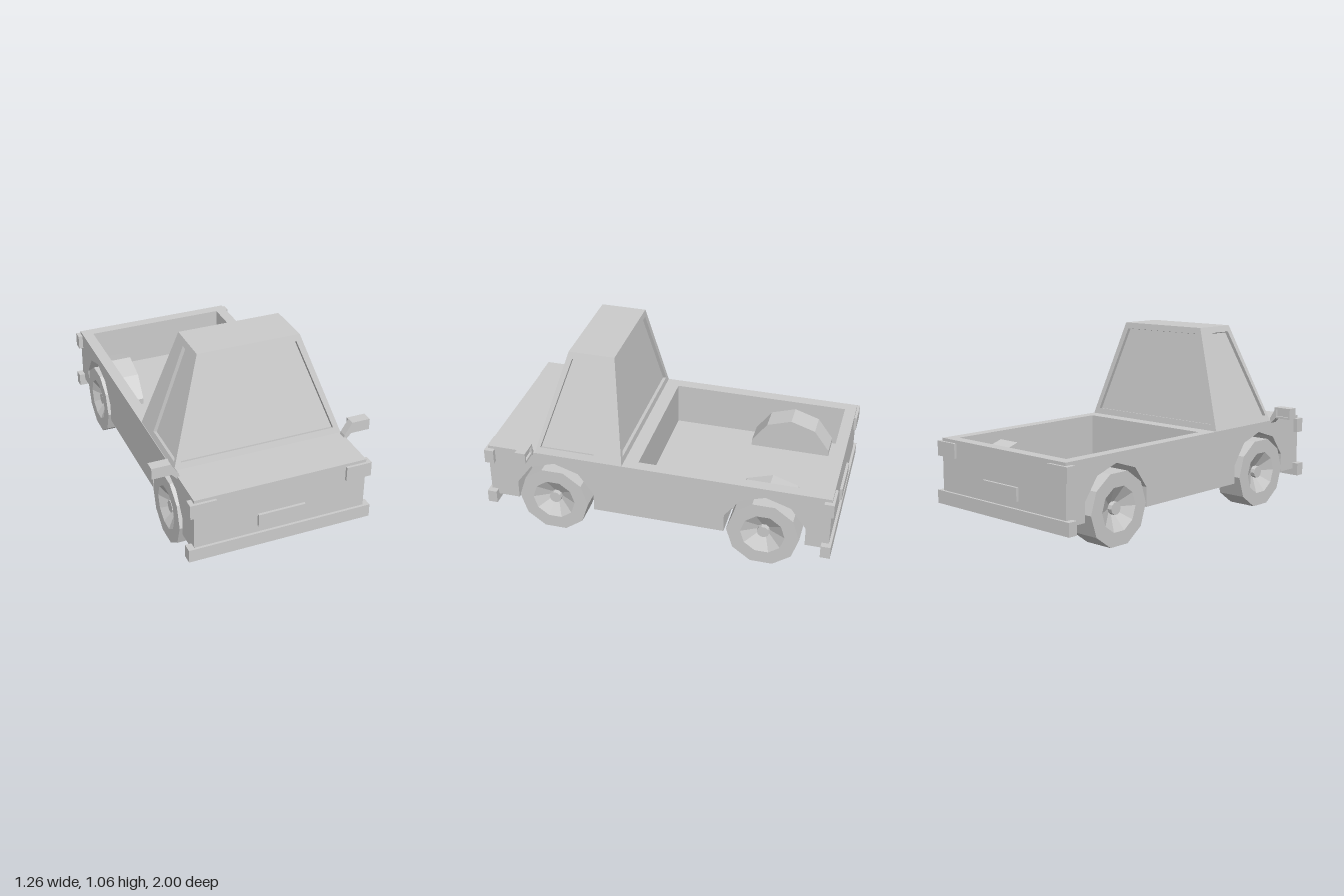
import * as THREE from 'three';

const mat = new THREE.MeshStandardMaterial({ color: 0xcccccc, flatShading: true, side: THREE.DoubleSide });

// Main dimensions
const BOT = 0.165, DECK = 0.495, FLOOR = 0.24, END = 0.985, HALF = 0.49;
const BED_BACK = -0.92, BED_FRONT = 0.11, BED_HALF = 0.425, WELL_IN = 0.28;
const AXLES = [0.59, -0.625], AXLE_Y = 0.2, WELL_R = 0.24;

function add(parent, name, geometry) {
  const mesh = new THREE.Mesh(geometry, mat);
  mesh.name = name;
  parent.add(mesh);
  return mesh;
}

function box(parent, name, x0, x1, y0, y1, z0, z1) {
  const g = new THREE.BoxGeometry(x1 - x0, y1 - y0, z1 - z0);
  add(parent, name, g.translate((x0 + x1) / 2, (y0 + y1) / 2, (z0 + z1) / 2));
}

const toShape = (pts) => new THREE.Shape(pts.map(([a, b]) => new THREE.Vector2(a, b)));

// Side profile in (z, y), extruded across the width from x0 to x1
function slab(parent, name, pts, x0, x1) {
  const g = new THREE.ExtrudeGeometry(toShape(pts), { depth: x1 - x0, bevelEnabled: false });
  add(parent, name, g.rotateY(-Math.PI / 2).translate(x1, 0, 0));
}

// Upper half of a ten-sided wheel well, from rear to front, starting at height y
function arch(zc, r, y) {
  const pts = [162, 126, 90, 54, 18].map((d) => {
    const a = THREE.MathUtils.degToRad(d);
    return [zc + r * Math.cos(a), AXLE_Y + r * Math.sin(a)];
  });
  return [[pts[0][0], y], ...pts, [pts[4][0], y]];
}

function buildBody(group) {
  const body = new THREE.Group();
  body.name = 'body';
  group.add(body);
  const wells = [...arch(AXLES[1], WELL_R, BOT), ...arch(AXLES[0], WELL_R, BOT)];
  const hump = arch(AXLES[1], WELL_R + 0.006, FLOOR);
  const underside = (cut) => [[-END, BOT], ...cut, [END, BOT], [END, DECK]];
  const bed = (cover) => [[BED_FRONT, DECK], [BED_FRONT, FLOOR], ...cover,
    [BED_BACK, FLOOR], [BED_BACK, DECK], [-END, DECK]];

  // Centre section with the load bed
  slab(body, 'chassisAndBed', [...underside([]), ...bed([])], -WELL_IN, WELL_IN);
  for (const s of [-1, 1]) {
    const span = (a, b) => (s > 0 ? [a, b] : [-b, -a]);
    // Strip holding the wheel wells, and the outer side wall
    slab(body, 'wheelWells', [...underside(wells), ...bed([...hump].reverse())], ...span(WELL_IN, BED_HALF));
    slab(body, 'sideWall', [...underside(wells), [-END, DECK]], ...span(BED_HALF, HALF));
    // Inner cover of the rear wheel well
    slab(body, 'wheelWellCover', hump, ...span(WELL_IN, WELL_IN + 0.006));
  }
}

// Four-sided panel with a recessed window; corners run counter-clockwise from outside
function windowPanel(parent, name, outer, inner, depth) {
  const normal = new THREE.Vector3().subVectors(outer[1], outer[0])
    .cross(new THREE.Vector3().subVectors(outer[3], outer[0])).normalize();
  const sunk = inner.map((p) => p.clone().addScaledVector(normal, -depth));
  const loops = [outer, inner, sunk];
  const pos = [];
  const quad = (a, b, c, d) => [a, b, c, a, c, d].forEach((p) => pos.push(p.x, p.y, p.z));
  for (let l = 0; l < 2; l++) {
    for (let i = 0; i < 4; i++) {
      const j = (i + 1) % 4;
      quad(loops[l][i], loops[l][j], loops[l + 1][j], loops[l + 1][i]);
    }
  }
  quad(...sunk);
  const g = new THREE.BufferGeometry();
  g.setAttribute('position', new THREE.Float32BufferAttribute(pos, 3));
  g.computeVertexNormals();
  add(parent, name, g);
}

function buildCab(group) {
  const cab = new THREE.Group();
  cab.name = 'cab';
  group.add(cab);
  const ROOF = 1.065, SILL = 0.53, HEAD = 1.03;
  const at = (y, low, high) => THREE.MathUtils.mapLinear(y, DECK, ROOF, low, high);
  const halfX = (y) => at(y, 0.488, 0.293);
  const frontZ = (y) => at(y, 0.7, 0.538);
  const rearZ = (y) => at(y, 0.19, 0.275);
  const P = (x, y, z) => new THREE.Vector3(x, y, z);

  // Windscreen and rear window
  for (const [name, zAt, s] of [['windscreen', frontZ, 1], ['rearWindow', rearZ, -1]]) {
    const face = (y0, y1, w0, w1) => [
      P(-s * w0, y0, zAt(y0)), P(s * w0, y0, zAt(y0)), P(s * w1, y1, zAt(y1)), P(-s * w1, y1, zAt(y1))];
    windowPanel(cab, name, face(DECK, ROOF, halfX(DECK), halfX(ROOF)), face(SILL, HEAD, 0.445, 0.27), 0.02);
  }
  // Side windows
  for (const s of [-1, 1]) {
    const face = (y0, y1, f0, r0, r1, f1) => {
      const c = [P(s * halfX(y0), y0, f0), P(s * halfX(y0), y0, r0), P(s * halfX(y1), y1, r1), P(s * halfX(y1), y1, f1)];
      return s > 0 ? c : [c[1], c[0], c[3], c[2]];
    };
    windowPanel(cab, s > 0 ? 'leftWindow' : 'rightWindow',
      face(DECK, ROOF, frontZ(DECK), rearZ(DECK), rearZ(ROOF), frontZ(ROOF)),
      face(SILL, HEAD, 0.67, 0.355, 0.37, 0.515), 0.02);
  }
  // Roof
  const depth = frontZ(ROOF) - rearZ(ROOF);
  const roof = new THREE.PlaneGeometry(2 * halfX(ROOF), depth).rotateX(-Math.PI / 2);
  add(cab, 'roof', roof.translate(0, ROOF, rearZ(ROOF) + depth / 2));
}

// Ten-sided wheel with a dished rim and a raised hub
function buildWheels(group) {
  const profile = [[0, 0], [0.205, 0], [0.205, 0.172], [0.125, 0.172], [0.035, 0.122], [0.035, 0.15], [0, 0.15]]
    .map(([r, h]) => new THREE.Vector2(r, h));
  const geometry = new THREE.LatheGeometry(profile, 10).rotateZ(-Math.PI / 2);
  for (const [name, z] of [['frontWheel', 0.6], ['rearWheel', -0.618]]) {
    for (const s of [-1, 1]) {
      const wheel = add(group, name, geometry);
      wheel.position.set(s * 0.329, 0.195, z);
      if (s < 0) wheel.rotation.y = Math.PI;
    }
  }
}

function buildTrim(group) {
  // Bumpers, plates and lamps at both ends
  for (const [end, s] of [['front', 1], ['rear', -1]]) {
    const zr = (a, b) => (s > 0 ? [a, b] : [-b, -a]);
    box(group, end + 'Bumper', -0.525, 0.525, 0.125, 0.2, ...zr(0.945, 1));
    box(group, end + 'Plate', -0.135, 0.135, 0.24, 0.315, ...zr(0.97, 1));
    box(group, end + 'LampLeft', 0.37, 0.516, 0.395, 0.478, ...zr(0.945, 1));
    box(group, end + 'LampRight', -0.516, -0.37, 0.395, 0.478, ...zr(0.945, 1));
  }
  // Door mirrors: arm and head, with a rim around the glass at the back
  const outline = [[0.475, 0.48], [0.49, 0.48], [0.522, 0.515], [0.632, 0.515], [0.632, 0.58], [0.525, 0.58], [0.482, 0.51]];
  const rim = toShape([[0.522, 0.515], [0.632, 0.515], [0.632, 0.58], [0.522, 0.58]]);
  rim.holes.push(toShape([[0.534, 0.527], [0.534, 0.568], [0.62, 0.568], [0.62, 0.527]]));
  for (const s of [-1, 1]) {
    const mirror = new THREE.Group();
    mirror.name = s > 0 ? 'leftMirror' : 'rightMirror';
    mirror.scale.x = s;
    group.add(mirror);
    const head = new THREE.ExtrudeGeometry(toShape(outline), { depth: 0.045, bevelEnabled: false });
    add(mirror, 'mirrorHead', head.translate(0, 0, 0.712));
    const edge = new THREE.ExtrudeGeometry(rim, { depth: 0.014, bevelEnabled: false });
    add(mirror, 'mirrorRim', edge.translate(0, 0, 0.698));
  }
}

export function createModel() {
  const group = new THREE.Group();
  group.name = 'pickupTruck';
  buildBody(group);
  buildCab(group);
  buildWheels(group);
  buildTrim(group);
  return group;
}
